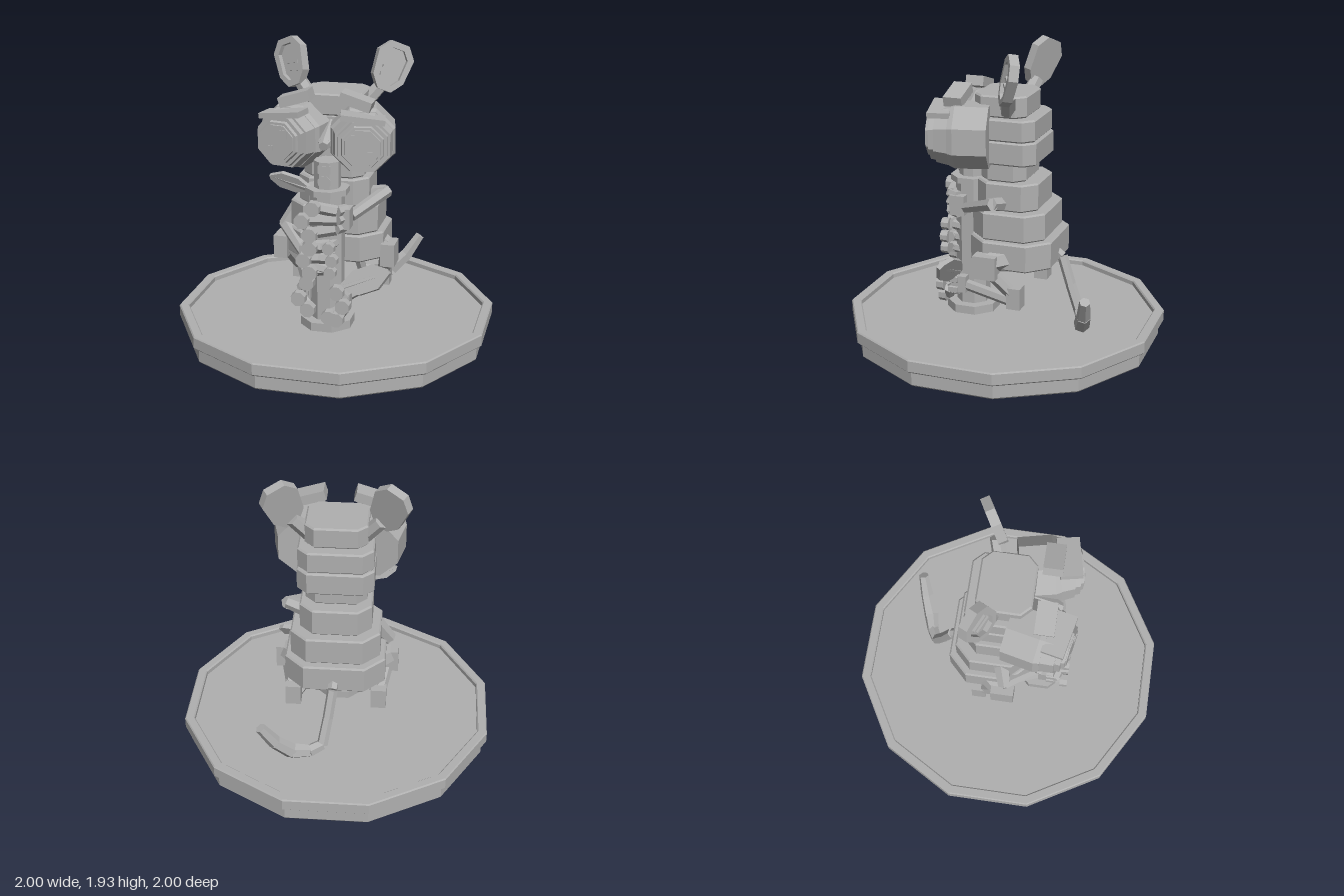
import * as THREE from 'three';

const V = (x, y, z) => new THREE.Vector3(x, y, z);

export function createModel() {
  const root = new THREE.Group();
  const grey = new THREE.MeshStandardMaterial({ color: 0xb0b0b0 });
  grey.flatShading = true;

  const add = (name, geo, parent = root) => {
    const m = new THREE.Mesh(geo, grey);
    m.name = name;
    parent.add(m);
    return m;
  };
  const box = (name, w, h, d, x, y, z, parent) => {
    const m = add(name, new THREE.BoxGeometry(w, h, d), parent);
    m.position.set(x, y, z);
    return m;
  };
  // Tapered prism running from a to b
  const limb = (name, a, b, r0, r1 = r0, sides = 6, parent) => {
    const dir = b.clone().sub(a);
    const m = add(name, new THREE.CylinderGeometry(r1, r0, dir.length(), sides), parent);
    m.position.copy(a).add(b).multiplyScalar(0.5);
    m.quaternion.setFromUnitVectors(V(0, 1, 0), dir.normalize());
    return m;
  };
  // Eight-sided prism along z, sized by half its flat-to-flat width
  const octagon = (name, z0, z1, a0, a1, parent) => {
    const k = 1 / Math.cos(Math.PI / 8);
    const g = new THREE.CylinderGeometry(a1 * k, a0 * k, z1 - z0, 8);
    g.rotateY(Math.PI / 8).rotateX(Math.PI / 2).translate(0, 0, (z0 + z1) / 2);
    return add(name, g, parent);
  };
  const chamfered = (w, h, cx, cy = cx, Type = THREE.Shape) => new Type([
    [-w + cx, -h], [w - cx, -h], [w, -h + cy], [w, h - cy],
    [w - cx, h], [-w + cx, h], [-w, h - cy], [-w, -h + cy],
  ].map(([x, y]) => new THREE.Vector2(x, y)));
  // Horizontal slab with cut corners and a small bevel
  const slab = (name, y0, y1, halfW, zBack, zFront, c) => {
    const b = 0.01;
    const shape = chamfered(halfW - b, (zFront - zBack) / 2 - b, c);
    const g = new THREE.ExtrudeGeometry(shape, {
      depth: y1 - y0 - 2 * b, bevelEnabled: true, bevelSize: b, bevelThickness: b, bevelSegments: 1,
    });
    g.rotateX(-Math.PI / 2).translate(0, y0 + b, (zBack + zFront) / 2);
    return add(name, g);
  };

  // Twelve-sided plinth with a raised rim
  const k12 = 1 / Math.cos(Math.PI / 12);
  const profile = [[0, 0], [0.96, 0], [0.968, 0.01], [0.968, 0.1], [0.99, 0.1], [1, 0.11], [1, 0.178],
    [0.993, 0.186], [0.945, 0.186], [0.937, 0.178], [0.937, 0.15], [0, 0.15]]
    .map(([x, y]) => new THREE.Vector2(x * k12, y));
  add('plinth', new THREE.LatheGeometry(profile, 12, Math.PI / 12));

  // Body and head stacked from slabs
  slab('hips', 0.55, 0.73, 0.32, -0.365, 0.17, 0.12);
  slab('belly', 0.73, 0.91, 0.285, -0.32, 0.16, 0.1);
  slab('chest', 0.91, 1.09, 0.228, -0.262, 0.14, 0.08);
  slab('neck', 1.09, 1.22, 0.195, -0.178, 0.12, 0.06);
  slab('lowerHead', 1.21, 1.36, 0.24, -0.257, 0.13, 0.06);
  slab('upperHead', 1.36, 1.5, 0.235, -0.247, 0.14, 0.06);
  slab('crown', 1.5, 1.637, 0.195, -0.182, 0.16, 0.055);

  // Muzzle between the eyes
  limb('muzzle', V(0, 1.4, 0.1), V(0, 1.36, 0.3), 0.09, 0.04, 6);
  limb('nose', V(0, 1.36, 0.29), V(0, 1.35, 0.33), 0.045, 0.03, 6);

  for (const s of [-1, 1]) {
    // Goggling eyes, turned slightly outward
    const eye = new THREE.Group();
    eye.name = 'eye';
    eye.position.set(s * 0.175, 1.383, 0);
    eye.rotation.y = s * 0.21;
    root.add(eye);
    octagon('eyeBarrel', 0.04, 0.25, 0.195, 0.198, eye);
    octagon('eyeCollar', 0.25, 0.285, 0.198, 0.185, eye);
    octagon('eyeRing', 0.285, 0.37, 0.182, 0.165, eye);
    octagon('eyeRim', 0.37, 0.405, 0.152, 0.148, eye);
    octagon('lens', 0.405, 0.425, 0.128, 0.122, eye);
    octagon('iris', 0.425, 0.432, 0.107, 0.105, eye);
    box('glint', 0.05, 0.05, 0.008, -s * 0.045, 0.055, 0.435, eye);
    box('glint', 0.03, 0.03, 0.008, s * 0.045, -0.038, 0.435, eye);
    box('eyelid', 0.27, 0.035, 0.14, 0, 0.163, 0.345, eye).rotation.z = -s * 0.12;

    const brow = box('brow', 0.2, 0.065, 0.12, s * 0.19, 1.628, 0.25);
    brow.rotation.z = -s * 0.3;

    // Ears on short stalks
    limb('earStalk', V(s * 0.17, 1.54, -0.07), V(s * 0.27, 1.66, -0.11), 0.05, 0.045, 6);
    const ear = new THREE.Group();
    ear.name = 'ear';
    ear.position.set(s * 0.322, 1.765, -0.13);
    ear.rotation.set(-0.16, s * 0.5, -s * 0.4, 'YXZ');
    root.add(ear);
    const taper = (g) => {
      const p = g.attributes.position;
      for (let i = 0; i < p.count; i++) p.setX(i, p.getX(i) * (1 + p.getY(i) * 0.9));
      return g;
    };
    const rim = chamfered(0.112, 0.155, 0.06, 0.075);
    rim.holes.push(chamfered(0.075, 0.115, 0.04, 0.05, THREE.Path));
    const flat = { depth: 0.03, bevelEnabled: false };
    add('earRim', taper(new THREE.ExtrudeGeometry(rim, flat)), ear);
    add('earBack', taper(new THREE.ExtrudeGeometry(chamfered(0.112, 0.155, 0.06, 0.075), flat)), ear)
      .position.z = -0.03;
    for (const y of [-0.05, 0]) box('earFold', 0.115, 0.018, 0.02, 0, y, 0.006, ear).rotation.z = s * 0.2;

    // Folded legs reaching forward to the post
    const footY = s > 0 ? 0.33 : 0.37;
    box('knee', 0.09, 0.15, 0.15, s * 0.355, 0.58, 0.01);
    limb('thigh', V(s * 0.24, 0.62, -0.12), V(s * 0.35, 0.6, 0.0), 0.075, 0.06);
    limb('shin', V(s * 0.335, 0.56, 0.01), V(s * 0.285, 0.38, -0.15), 0.045, 0.04);
    box('heel', 0.1, 0.14, 0.09, s * 0.28, 0.37, -0.16);
    limb('foot', V(s * 0.27, footY, -0.14), V(s * 0.11, footY + 0.01, 0.26), 0.036, 0.036);
    box('footPalm', 0.07, 0.11, 0.09, s * 0.125, footY + 0.02, 0.27);
  }

  // Arms: one raised, one lowered
  limb('upperArm', V(0.2, 0.95, -0.04), V(0.325, 0.985, -0.015), 0.05, 0.042);
  limb('forearm', V(0.33, 0.985, -0.03), V(0.15, 0.88, 0.22), 0.042, 0.036);
  box('hand', 0.06, 0.13, 0.1, 0.135, 0.89, 0.28);
  limb('upperArm', V(-0.23, 0.88, -0.02), V(-0.34, 0.71, 0.02), 0.055, 0.045);
  limb('forearm', V(-0.34, 0.72, 0.01), V(-0.15, 0.62, 0.25), 0.045, 0.036);
  box('hand', 0.06, 0.13, 0.1, -0.13, 0.63, 0.28);

  // Post
  const pz = 0.23;
  const post = (name, y0, y1, r) => {
    const m = add(name, new THREE.CylinderGeometry(r, r, y1 - y0, 8).rotateY(Math.PI / 8));
    m.position.set(0, (y0 + y1) / 2, pz);
  };
  post('postFoot', 0.145, 0.205, 0.175);
  post('post', 0.2, 1.03, 0.11);
  post('postCollar', 1.03, 1.068, 0.142);
  post('postTop', 1.06, 1.24, 0.085);
  box('postPanel', 0.08, 0.05, 0.008, 0, 1.195, pz + 0.08);
  octagon('postKnot', -0.004, 0.004, 0.04, 0.04).position.set(0, 1.115, pz + 0.08);

  // Fingers and toes across the front of the post: tip x, tip y, root x, root y
  const digits = [
    [-0.05, 0.97, 0.13, 0.945], [-0.12, 0.885, 0.13, 0.89], [-0.07, 0.797, 0.12, 0.83],
    [0.05, 0.72, -0.12, 0.69], [0.07, 0.64, -0.13, 0.63], [0.06, 0.56, -0.12, 0.575],
    [-0.07, 0.71, 0.06, 0.72], [-0.11, 0.63, 0.05, 0.64], [-0.07, 0.55, 0.05, 0.56],
    [-0.09, 0.48, -0.14, 0.42], [-0.145, 0.37, -0.13, 0.38], [-0.085, 0.3, -0.14, 0.35],
    [0.1, 0.43, 0.14, 0.38], [0.14, 0.34, 0.13, 0.35], [0.1, 0.25, 0.14, 0.31], [0.05, 0.26, 0.13, 0.3],
  ];
  digits.forEach(([tx, ty, rx, ry], i) => {
    const across = i < 9;
    const bend = V(across ? rx * 0.7 : rx, ry, 0.345);
    limb('digitBase', V(rx, ry, 0.28), bend, 0.034);
    limb('digit', bend, V(tx, ty, 0.365), 0.038, 0.036);
    const big = i < 6 && i > 2 ? 0.038 : 0.047;
    octagon('digitPad', -0.025, 0.025, big, big * 0.95).position.set(tx, ty, 0.4);
  });

  // Folded leaves on twigs
  const leaf = (base, tip, half, roll) => {
    const len = base.distanceTo(tip);
    const shape = new THREE.Shape([[0, -0.25], [0.3, -0.9], [0.7, -0.9], [1, -0.1], [0.95, 0.3], [0.7, 0.9],
      [0.3, 0.9], [0, 0.25]].map(([x, y]) => new THREE.Vector2(x * len, y * half)));
    const g = new THREE.ExtrudeGeometry(shape, { depth: 0.03, bevelEnabled: false });
    g.translate(0, 0, -0.015).rotateX(roll);
    const m = add('leaf', g);
    m.position.copy(base);
    m.quaternion.setFromUnitVectors(V(1, 0, 0), tip.clone().sub(base).normalize());
    limb('leafRib', base.clone().lerp(tip, 0.05), base.clone().lerp(tip, 0.9), 0.022, 0.016, 6);
    limb('twig', V(0, base.y - 0.02, pz), base, 0.025, 0.02);
  };
  leaf(V(-0.11, 1.05, 0.25), V(-0.37, 1.115, 0.24), 0.06, -0.6);
  leaf(V(0.11, 0.42, 0.29), V(0.42, 0.56, 0.3), 0.09, -0.5);

  // Tail hanging down, then curling up at the end
  const tail = [[0, 0.62, -0.32, 0.034], [0.005, 0.575, -0.385, 0.034], [0.03, 0.4, -0.45, 0.034],
    [0.06, 0.235, -0.52, 0.036], [0.14, 0.21, -0.56, 0.042], [0.25, 0.23, -0.59, 0.052],
    [0.35, 0.33, -0.63, 0.045], [0.435, 0.465, -0.66, 0.034]];
  for (let i = 1; i < tail.length; i++) {
    const [a, b] = [tail[i - 1], tail[i]];
    limb('tail', V(a[0], a[1], a[2]), V(b[0], b[1], b[2]), a[3], b[3]);
  }
  return root;
}
